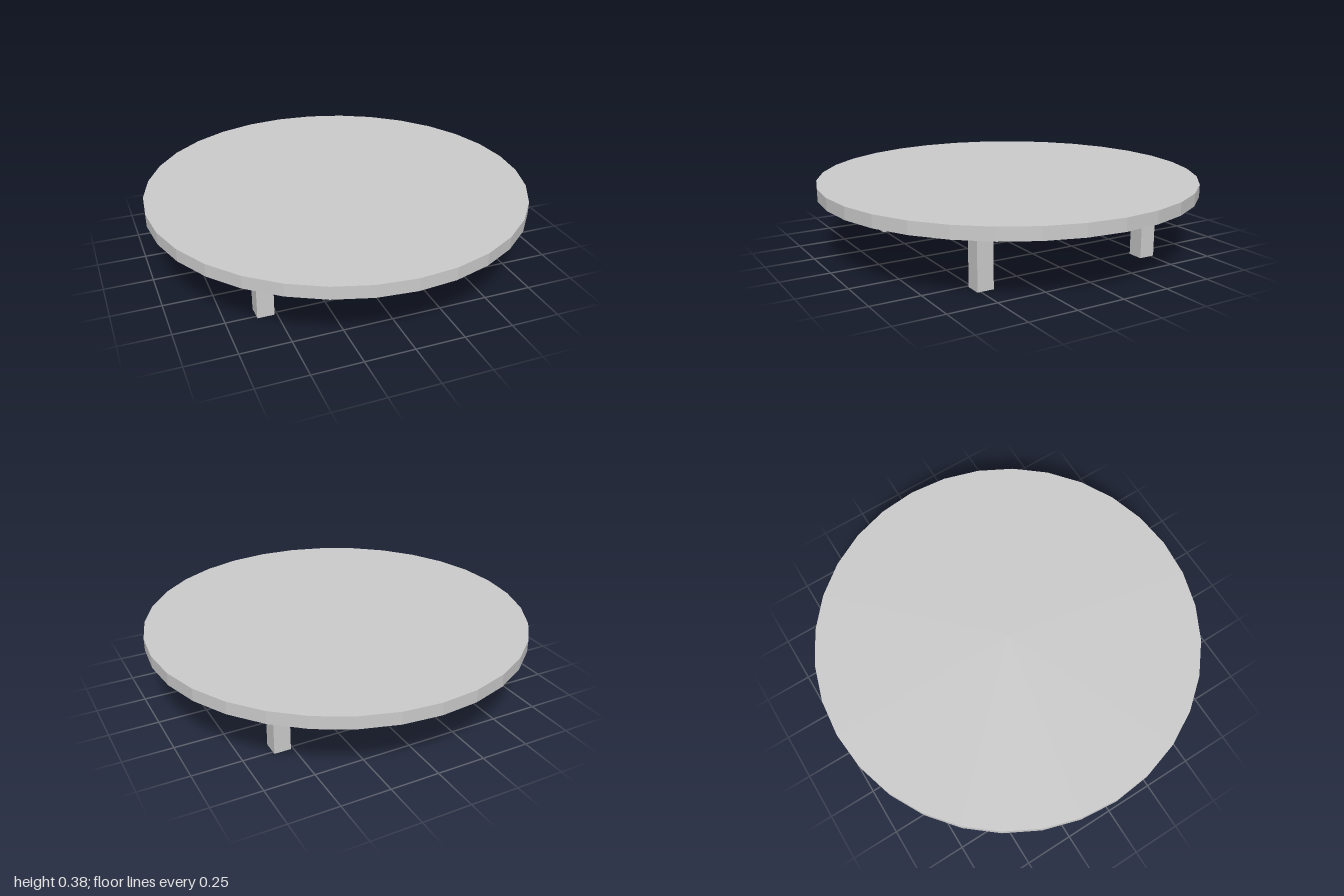
import * as THREE from 'three';

const TOP_Y = 0.375;
const THICKNESS = 0.065;
const LEG_WIDTH = 0.085;

export function createModel() {
  const model = new THREE.Group();
  model.name = 'roundTable';
  const material = new THREE.MeshStandardMaterial({ color: 0xcccccc, flatShading: true });

  // Faceted round top
  const top = new THREE.Mesh(new THREE.CylinderGeometry(1, 1, THICKNESS, 32), material);
  top.name = 'tableTop';
  top.position.y = TOP_Y - THICKNESS / 2;
  model.add(top);

  // Four square legs, meeting the underside of the top
  const legHeight = TOP_Y - THICKNESS;
  const legGeometry = new THREE.BoxGeometry(LEG_WIDTH, legHeight, LEG_WIDTH);
  for (const [zName, z] of [['front', 0.475], ['back', -0.475]]) {
    for (const [xName, x] of [['Left', 0.555], ['Right', -0.555]]) {
      const leg = new THREE.Mesh(legGeometry, material);
      leg.name = `${zName}${xName}Leg`;
      leg.position.set(x, legHeight / 2, z);
      model.add(leg);
    }
  }

  return model;
}
